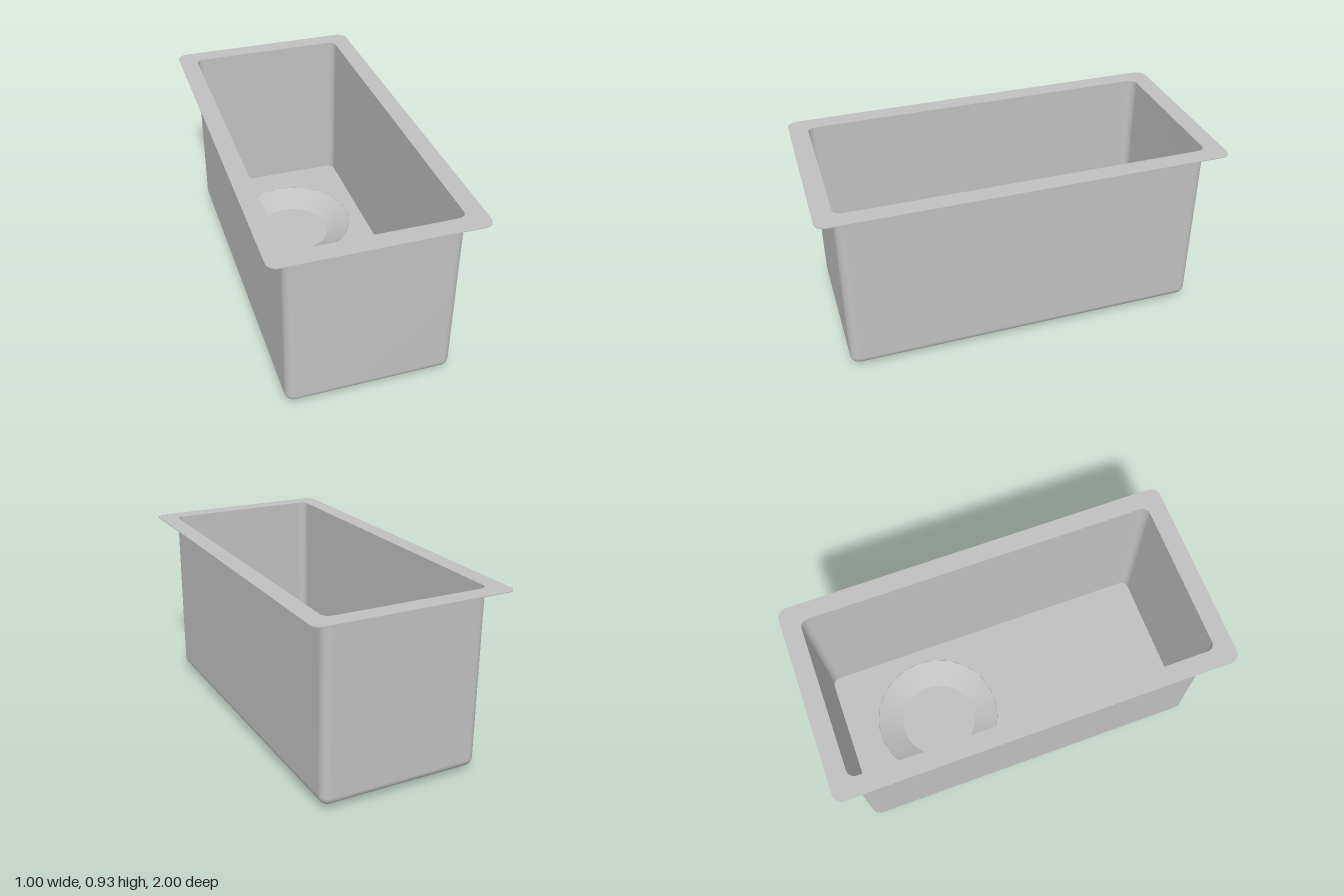
import * as THREE from 'three';

const STEEL = new THREE.MeshStandardMaterial({ color: 0xc0c0c0 });
STEEL.name = 'steel grey';
const STEEL_THIN = STEEL.clone();
STEEL_THIN.name = 'steel grey, two sided';
STEEL_THIN.side = THREE.DoubleSide;

const TOP = 0.93, RIM = 0.004;      // rim top and thickness
const BASE = 0.025, FLOOR = 0.07;   // underside and inner floor heights
const R = 0.045, DRAIN_Z = -0.41;

// Counter-clockwise rounded rectangle as a list of points
function roundedRect(hx, hy, r, steps = 8) {
  const pts = [];
  [[1, 1], [-1, 1], [-1, -1], [1, -1]].forEach(([sx, sy], q) => {
    for (let i = 0; i <= steps; i++) {
      const a = (q + i / steps) * Math.PI / 2;
      pts.push(new THREE.Vector2(sx * (hx - r) + r * Math.cos(a), sy * (hy - r) + r * Math.sin(a)));
    }
  });
  return pts;
}

// Skin a stack of closed loops, given as { y, pts }
function loft(loops, inward = false) {
  const n = loops[0].pts.length, pos = [], idx = [];
  loops.forEach(({ y, pts }) => pts.forEach(p => pos.push(p.x, y, p.y)));
  for (let k = 0; k < loops.length - 1; k++) {
    for (let i = 0; i < n; i++) {
      const a = k * n + i, b = k * n + (i + 1) % n, c = a + n, d = b + n;
      if (inward) idx.push(a, b, c, b, d, c);
      else idx.push(a, c, b, b, c, d);
    }
  }
  const g = new THREE.BufferGeometry();
  g.setAttribute('position', new THREE.Float32BufferAttribute(pos, 3));
  g.setIndex(idx);
  g.computeVertexNormals();
  return g;
}

// Flat plate with a round drain hole
function floorPlate(hx, hz, r, holeY, holeR) {
  const s = new THREE.Shape(roundedRect(hx, hz, r));
  s.holes.push(new THREE.Path().absarc(0, holeY, holeR, 0, Math.PI * 2, true));
  return new THREE.ShapeGeometry(s, 24);
}

export function createModel() {
  const group = new THREE.Group();
  group.name = 'sink';
  const add = (name, geometry, material = STEEL) => {
    const m = new THREE.Mesh(geometry, material);
    m.name = name;
    group.add(m);
    return m;
  };

  // Thin flat rim around the opening
  const rim = new THREE.Shape(roundedRect(0.5, 1, 0.05));
  rim.holes.push(new THREE.Path(roundedRect(0.409, 0.908, 0.04).reverse()));
  add('rim', new THREE.ExtrudeGeometry(rim, { depth: RIM, bevelEnabled: false })
    .rotateX(-Math.PI / 2).translate(0, TOP - RIM, 0));

  // Outer walls with a rounded lower edge
  const loops = [];
  for (let i = 0; i <= 6; i++) {
    const a = i / 6 * Math.PI / 2, inset = R * (1 - Math.sin(a));
    loops.push({
      y: BASE + R * (1 - Math.cos(a)),
      pts: roundedRect(0.413 - inset, 0.912 - inset, Math.max(R - inset, 0.001)),
    });
  }
  loops.push({ y: TOP - RIM, pts: roundedRect(0.413, 0.912, R) });
  add('outerWalls', loft(loops));

  // Inner walls
  const inner = roundedRect(0.409, 0.908, 0.04);
  add('innerWalls', loft([{ y: FLOOR, pts: inner }, { y: TOP, pts: inner }], true));

  // Underside and inner floor
  add('underside', floorPlate(0.413 - R, 0.912 - R, 0.001, DRAIN_Z, 0.248)
    .rotateX(Math.PI / 2).translate(0, BASE, 0));
  add('innerFloor', floorPlate(0.409, 0.908, 0.04, -DRAIN_Z, 0.335)
    .rotateX(-Math.PI / 2).translate(0, FLOOR, 0));

  // Conical drain dish and its flat bottom
  add('drainDish', new THREE.CylinderGeometry(0.335, 0.205, FLOOR, 24, 1, true)
    .translate(0, FLOOR / 2, DRAIN_Z), STEEL_THIN);
  add('drainBottom', new THREE.CircleGeometry(0.205, 24)
    .rotateX(-Math.PI / 2).rotateY(Math.PI / 2).translate(0, 0, DRAIN_Z), STEEL_THIN);

  return group;
}
